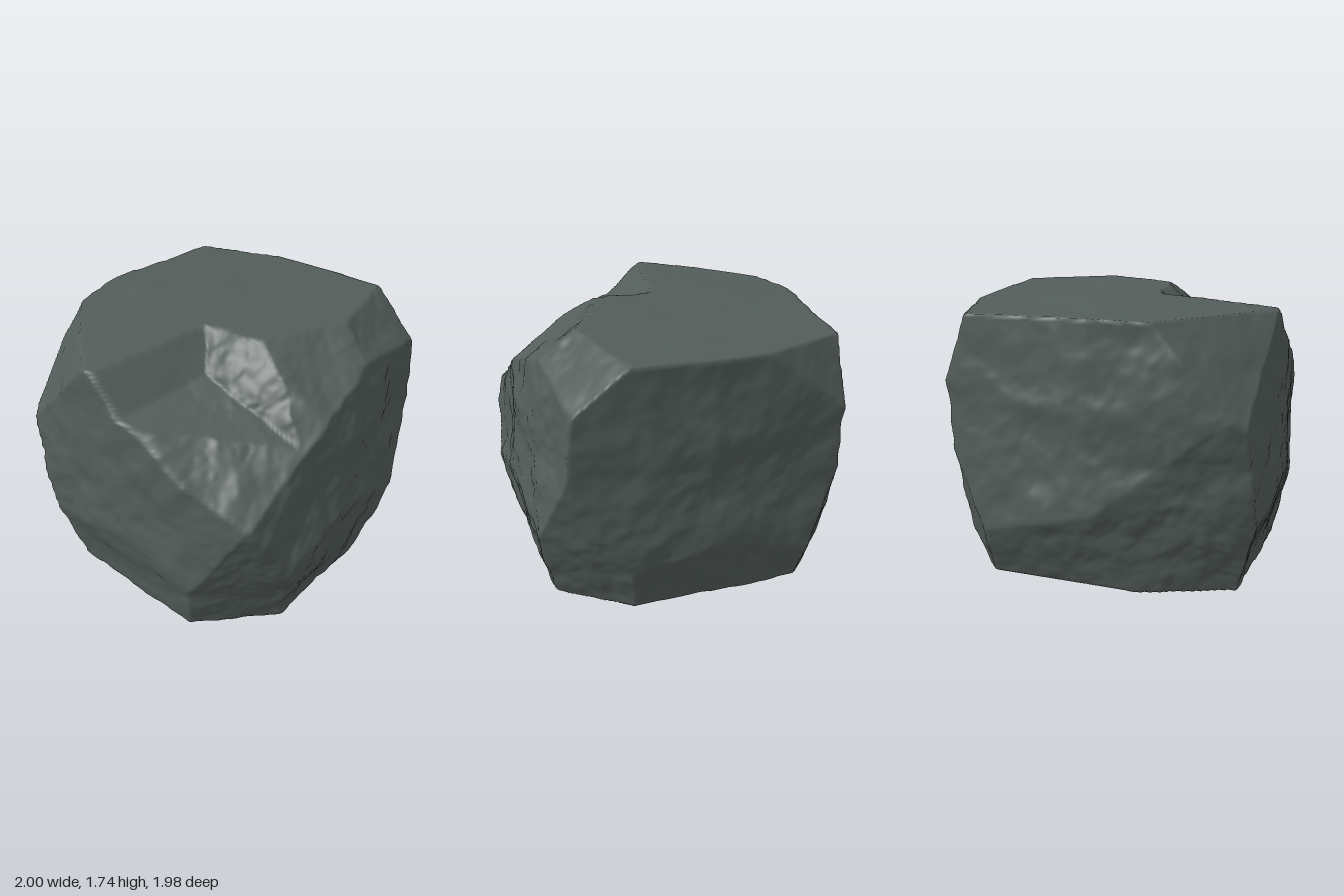
import * as THREE from 'three';
import { mergeVertices } from 'three/addons/utils/BufferGeometryUtils.js';

const CENTRE = new THREE.Vector3(0, 0.85, 0);

// Seeded lattice noise, roughly -1..1
function hash(x, y, z) {
  let h = Math.imul(x, 374761393) ^ Math.imul(y, 668265263) ^ Math.imul(z, 1440662683);
  h = Math.imul(h ^ (h >>> 13), 1274126177);
  h = Math.imul(h ^ (h >>> 15), 2246822519);
  return ((h ^ (h >>> 16)) >>> 0) / 2147483648 - 1;
}
function noise(x, y, z) {
  const i = Math.floor(x), j = Math.floor(y), k = Math.floor(z);
  const ease = (t) => t * t * (3 - 2 * t), mix = THREE.MathUtils.lerp;
  const u = ease(x - i), v = ease(y - j), w = ease(z - k);
  const row = (b, c) => mix(hash(i, b, c), hash(i + 1, b, c), u);
  return mix(mix(row(j, k), row(j + 1, k), v), mix(row(j, k + 1), row(j + 1, k + 1), v), w);
}
function fractalNoise(p, frequency) {
  let sum = 0;
  for (let octave = 0; octave < 4; octave++) {
    const f = frequency * 2.03 ** octave;
    sum += noise(p.x * f + 7 * octave, p.y * f, p.z * f + 3 * octave) * 0.5 ** octave;
  }
  return sum;
}

// A cleaved face: outward normal, a point on it, and its roughness
function cleave(nx, ny, nz, px, py, pz, rough) {
  const normal = new THREE.Vector3(nx, ny, nz).normalize();
  return { normal, distance: normal.dot(new THREE.Vector3(px, py, pz).sub(CENTRE)), rough };
}

// Distance from the centre to a face along a direction
function reach(face, direction, bump) {
  const c = face.normal.dot(direction);
  return c > 0.02 ? (face.distance + face.rough * bump) / c : 50;
}

// One side wall: two faces meeting in a slight ridge, above an undercut foot
function sideFaces(x, z, distance, lean, yaw, undercut, rough) {
  const wall = (turn) => cleave(x + z * turn, lean, z - x * turn, x * distance, 0.9, z * distance, rough);
  const foot = distance - 0.04;
  return [wall(yaw), wall(-yaw), cleave(x, -undercut, z, x * foot, 0.4, z * foot, rough)];
}

const block = [
  // base and nearly flat top
  cleave(0, -1, 0, 0, 0, 0, 0),
  cleave(-0.03, 1, -0.035, 0, 1.725, 0, 0.003),
  cleave(0.04, 1, -0.035, 0, 1.725, 0, 0.003),
  // left, right, front and back
  ...sideFaces(1, 0, 0.965, -0.06, 0.06, 0.33, 0.022),
  ...sideFaces(-1, 0, 0.975, 0.02, 0.06, 0.24, 0.022),
  ...sideFaces(0, 1, 0.975, 0.12, 0.1, 0.2, 0.035),
  ...sideFaces(0, -1, 0.98, 0.04, 0.13, 0.4, 0.025),
  // undercut lower corners
  cleave(1, -0.46, 0.78, 0.51, 0, 0.78, 0.025),
  cleave(-1, -0.42, 1, -0.53, 0, 0.74, 0.025),
  cleave(-0.35, -0.25, -1, -0.79, 0, -0.59, 0.03),
  cleave(1, -0.35, -1, 0.76, 0, -0.72, 0.025),
  // front right-hand edge
  cleave(-1, 0, 0.27, -0.85, 1, 0.79, 0.02),
  // chipped upper rear corners
  cleave(-0.317, 0.255, -0.281, -0.9, 1.08, -0.84, 0.015),
  cleave(0.154, 0.052, -0.056, 0.78, 1.7, -0.86, 0.015),
  // broken front top edge
  cleave(-0.28, 1, 0.62, 0, 1.72, 0.45, 0.025),
  cleave(0.25, 1, 0.8, 0.65, 1.71, 0.57, 0.025),
  cleave(0, 0.5, 1, 0.3, 1.46, 0.9, 0.025),
  cleave(-0.6, 1, 0.71, -0.92, 1.15, 0.58, 0.025),
];

// Step broken out of the top: ledge, rear wall and side wall
const step = [
  cleave(-0.12, 1, 0.3, -0.7, 1.5, 0.05, 0.012),
  cleave(-0.25, 1, 1, -0.9, 1.69, -0.17, 0.008),
  cleave(-1, 0.8, 0.2, -0.17, 1.71, 0.1, 0.035),
];

// Push a fine grid outwards until it meets the nearest cleaved face
function rockGeometry() {
  const box = new THREE.BoxGeometry(2, 2, 2, 88, 88, 88);
  box.deleteAttribute('normal');
  box.deleteAttribute('uv');
  const geometry = mergeVertices(box, 1e-4);
  const position = geometry.attributes.position;
  const direction = new THREE.Vector3(), point = new THREE.Vector3();
  for (let i = 0; i < position.count; i++) {
    direction.fromBufferAttribute(position, i).normalize();
    const bump = fractalNoise(direction, 3.2);
    const distances = (faces) => faces.map((face) => reach(face, direction, bump));
    const radius = Math.min(...distances(block), Math.max(...distances(step)));
    point.copy(CENTRE).addScaledVector(direction, radius);
    position.setXYZ(i, point.x, point.y, point.z);
  }
  geometry.computeVertexNormals();
  return geometry;
}

export function createModel() {
  const stone = new THREE.MeshStandardMaterial({ color: 0x535d5a });
  stone.name = 'dark grey stone';
  const rock = new THREE.Mesh(rockGeometry(), stone);
  rock.name = 'rock';
  const group = new THREE.Group();
  group.name = 'boulder';
  group.add(rock);
  return group;
}
